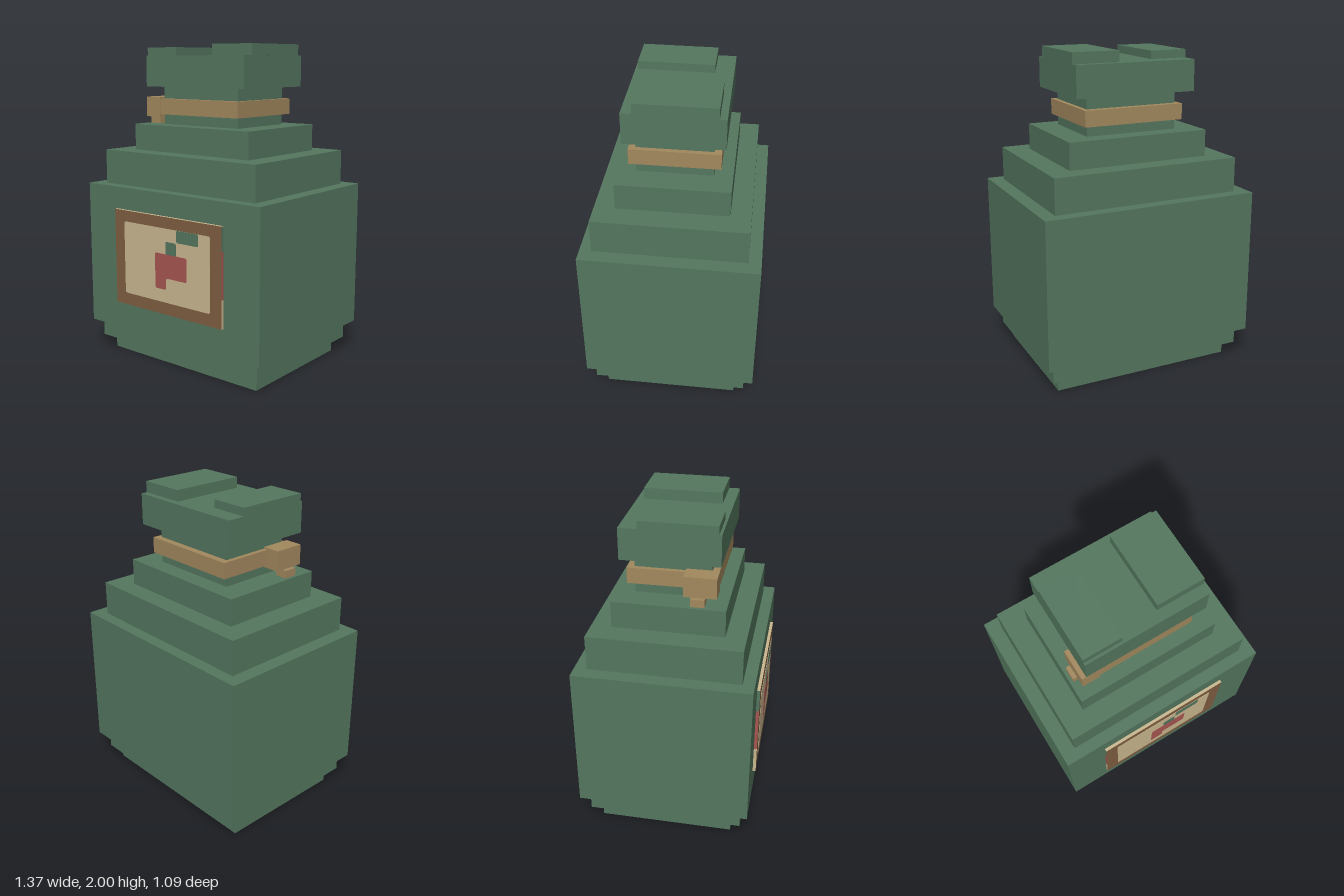
import * as THREE from 'three';

const mat = (name, color) => {
  const m = new THREE.MeshStandardMaterial({ color });
  m.name = name;
  return m;
};

export function createModel() {
  const group = new THREE.Group();
  group.name = 'jar';
  const green = mat('green glaze', 0x54775f);
  const tan = mat('tan cord', 0xa3895e);
  const brown = mat('brown frame', 0x7f5e41);
  const cream = mat('cream paper', 0xc9b78f);
  const red = mat('red print', 0xa95651);

  // Box given by its extents on each axis
  const box = (name, material, x0, x1, y0, y1, z0, z1) => {
    const mesh = new THREE.Mesh(new THREE.BoxGeometry(x1 - x0, y1 - y0, z1 - z0), material);
    mesh.position.set((x0 + x1) / 2, (y0 + y1) / 2, (z0 + z1) / 2);
    mesh.name = name;
    group.add(mesh);
  };

  // Stepped jar: name, half width, bottom, top, back, front
  const tiers = [
    ['foot', 0.585, 0, 0.09, -0.425, 0.41],
    ['lowerStep', 0.637, 0.09, 0.2, -0.488, 0.474],
    ['body', 0.686, 0.2, 1.122, -0.544, 0.522],
    ['lowerShoulder', 0.598, 1.122, 1.338, -0.468, 0.45],
    ['upperShoulder', 0.454, 1.338, 1.503, -0.346, 0.326],
    ['neck', 0.294, 1.503, 1.74, -0.234, 0.22],
    ['stopper', 0.388, 1.74, 1.932, -0.304, 0.284],
  ];
  for (const [name, w, y0, y1, z0, z1] of tiers) box(name, green, -w, w, y0, y1, z0, z1);

  // Raised plates on the stopper
  box('leftTopPlate', green, 0.096, 0.393, 1.932, 2, -0.262, 0.217);
  box('rightTopPlate', green, -0.39, -0.15, 1.932, 1.982, -0.192, 0.268);

  // Cord, knot and loose end
  box('cord', tan, -0.323, 0.323, 1.567, 1.665, -0.277, 0.261);
  box('knot', tan, -0.408, -0.294, 1.55, 1.675, 0.07, 0.265);
  box('cordEnd', tan, -0.434, -0.355, 1.503, 1.55, 0.116, 0.199);

  // Label board in three bands whose thin edges differ in colour
  const bands = [[0.375, 0.55, cream], [0.55, 0.835, red], [0.835, 0.983, green]];
  for (const [y0, y1, edge] of bands) {
    box('labelBoard', [edge, edge, cream, cream, brown, brown], -0.432, 0.43, y0, y1, 0.522, 0.541);
  }

  // Thin printed plate with clipped corners
  const plate = (name, material, points, z, clip = 0.014) => {
    const pts = points.map(([x, y]) => new THREE.Vector2(x, y));
    const shape = new THREE.Shape();
    pts.forEach((p, i) => {
      const prev = pts[(i + pts.length - 1) % pts.length];
      const next = pts[(i + 1) % pts.length];
      const a = p.clone().add(prev.clone().sub(p).setLength(clip));
      const b = p.clone().add(next.clone().sub(p).setLength(clip));
      if (i) shape.lineTo(a.x, a.y);
      else shape.moveTo(a.x, a.y);
      shape.quadraticCurveTo(p.x, p.y, b.x, b.y);
    });
    const geo = new THREE.ExtrudeGeometry(shape, { depth: 0.002, bevelEnabled: false, curveSegments: 3 });
    const mesh = new THREE.Mesh(geo, material);
    mesh.position.z = z;
    mesh.name = name;
    group.add(mesh);
  };
  const rect = (x0, x1, y0, y1) => [[x0, y0], [x1, y0], [x1, y1], [x0, y1]];

  plate('labelPaper', cream, rect(-0.35, 0.345, 0.452, 0.913), 0.541);
  plate('printedFruit', red,
    [[-0.087, 0.534], [0, 0.534], [0, 0.606], [0.167, 0.606], [0.167, 0.755], [-0.087, 0.755]], 0.543);
  plate('printedStem', green, rect(0, 0.083, 0.755, 0.833), 0.543, 0.01);
  plate('printedLeaf', green, rect(0.088, 0.257, 0.838, 0.913), 0.543, 0.01);

  return group;
}
